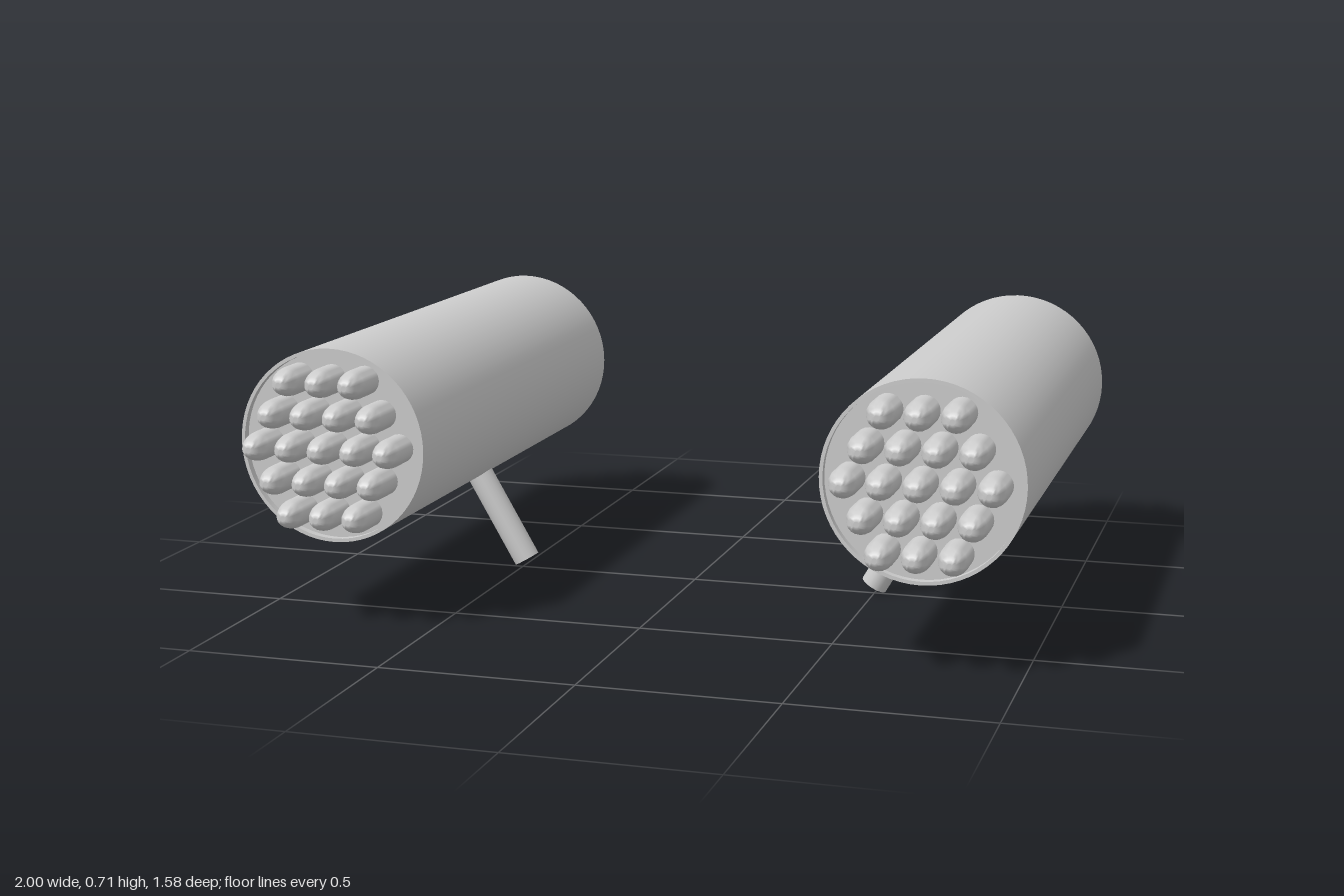
import * as THREE from 'three';
import { toCreasedNormals } from 'three/addons/utils/BufferGeometryUtils.js';

const material = new THREE.MeshStandardMaterial({ color: 0xcccccc });

// Revolve an [radius, z] profile (back to front) around the z axis
function revolve(profile, segments) {
  const points = profile.map(([r, z]) => new THREE.Vector2(r, z));
  const geometry = new THREE.LatheGeometry(points, segments).rotateX(Math.PI / 2);
  return toCreasedNormals(geometry, 0.7);
}

function addMesh(parent, name, geometry) {
  const mesh = new THREE.Mesh(geometry, material);
  mesh.name = name;
  parent.add(mesh);
  return mesh;
}

export function createModel() {
  const model = new THREE.Group();
  model.name = 'rocketPods';

  // Casing with a thin raised rim around both end plates
  const casing = revolve([
    [0, -0.72], [0.239, -0.72], [0.239, -0.74], [0.248, -0.74],
    [0.248, 0.68], [0.239, 0.68], [0.239, 0.66], [0, 0.66],
  ], 64);

  // Rocket with a flat tail and a rounded nose
  const rocket = revolve([
    [0, -0.79], [0.037, -0.79], [0.037, 0.725], [0.035, 0.743],
    [0.03, 0.761], [0.023, 0.776], [0.015, 0.785], [0.007, 0.789], [0, 0.79],
  ], 20);

  // Strut running from the pod axis down towards the middle
  const strutLength = 0.514;
  const strut = new THREE.CylinderGeometry(0.036, 0.036, strutLength, 20)
    .translate(0, -strutLength / 2, 0);

  for (const side of [-1, 1]) {
    const pod = new THREE.Group();
    pod.name = side > 0 ? 'leftPod' : 'rightPod';
    pod.position.set(side * 0.752, 0.465, 0);
    model.add(pod);

    addMesh(pod, 'casing', casing);

    const mount = addMesh(pod, 'mountingStrut', strut);
    mount.position.z = -0.02;
    mount.rotation.z = -side * Math.PI / 6;

    // Nineteen rockets in a hexagonal pattern: rows of 3, 4, 5, 4, 3
    for (let row = -2; row <= 2; row++) {
      const count = 5 - Math.abs(row);
      for (let i = 0; i < count; i++) {
        addMesh(pod, 'rocket', rocket)
          .position.set((i - (count - 1) / 2) * 0.088, row * 0.0845, 0);
      }
    }
  }
  return model;
}
